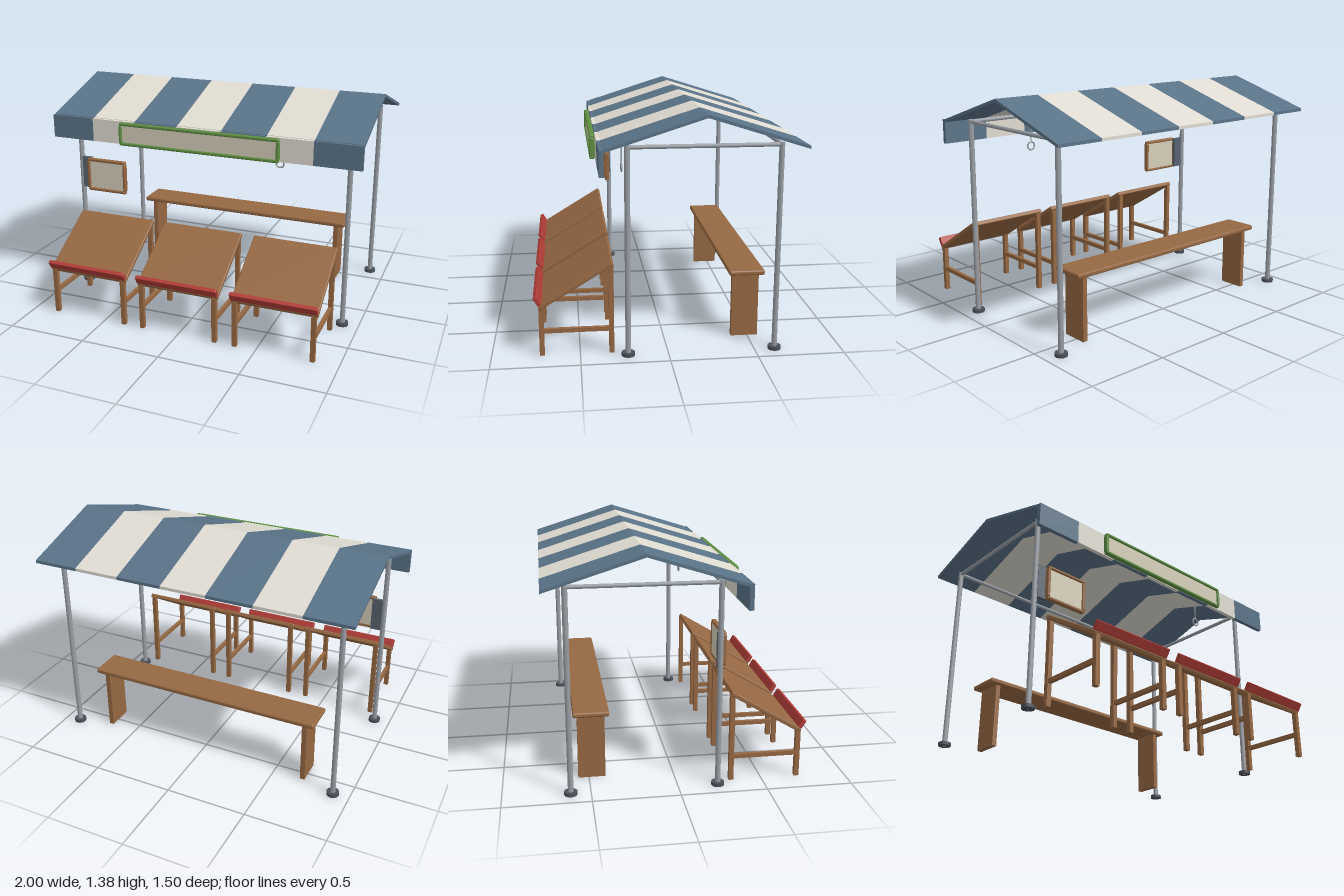
import * as THREE from 'three';
import { RoundedBoxGeometry } from 'three/addons/geometries/RoundedBoxGeometry.js';

const paint = (color) => new THREE.MeshStandardMaterial({ color });
const wood = paint(0x966842), blue = paint(0x5a7388), cream = paint(0xe0dcd2);
const red = paint(0xb03c36), green = paint(0x5f8f42), metal = paint(0x9a9fa5);
const iron = paint(0x4a4f58), slate = paint(0x59636f), paper = paint(0xd5ceb8);

function add(parent, name, geometry, material, x = 0, y = 0, z = 0) {
  const mesh = new THREE.Mesh(geometry, material);
  mesh.name = name;
  mesh.position.set(x, y, z);
  parent.add(mesh);
  return mesh;
}

const box = (w, h, d) => new THREE.BoxGeometry(w, h, d);
const rounded = (w, h, d, r) => new RoundedBoxGeometry(w, h, d, 2, r);

function group(parent, name, x = 0, y = 0, z = 0) {
  const g = new THREE.Group();
  g.name = name;
  g.position.set(x, y, z);
  parent.add(g);
  return g;
}

// Panel with a rounded four-bar frame
function framedPanel(parent, name, w, h, depth, bar, frameMaterial, x, y, z) {
  const g = group(parent, name, x, y, z);
  add(g, 'panel', box(w - bar, h - bar, depth * 0.5), paper, 0, 0, -depth * 0.1);
  for (const s of [-1, 1]) {
    add(g, 'frameRail', rounded(w - 0.006, bar, depth * 0.9, bar * 0.4), frameMaterial, 0, s * (h - bar) / 2, 0);
    add(g, 'frameStile', rounded(bar, h - bar * 1.6, depth, bar * 0.4), frameMaterial, s * (w - bar) / 2, 0, 0);
  }
}

// Seven-striped gable canopy with a front valance
function buildCanopy(parent) {
  const g = group(parent, 'canopy');
  const count = 7, width = 2 / count;
  const profile = new THREE.Shape([
    [-0.745, 1.188], [-0.19, 1.362], [0.362, 1.188],
    [0.362, 1.206], [-0.19, 1.38], [-0.745, 1.206],
  ].map(([z, y]) => new THREE.Vector2(z, y)));
  for (let i = 0; i < count; i++) {
    const x = -1 + width * (i + 0.5);
    const material = i % 2 ? cream : blue;
    const roof = new THREE.ExtrudeGeometry(profile, { depth: width, bevelEnabled: false });
    roof.translate(0, 0, -width / 2).rotateY(-Math.PI / 2);
    add(g, 'roofStripe', roof, material, x);
    add(g, 'valanceStripe', box(width, 0.145, 0.026), material, x, 1.131, 0.372);
  }
}

// Four posts with feet, joined by a rectangle of top beams
function buildPosts(parent) {
  const g = group(parent, 'postFrame');
  const front = 0.23, back = -0.615, midZ = (front + back) / 2;
  for (const x of [-0.9, 0.9]) {
    for (const z of [front, back]) {
      add(g, 'post', new THREE.CylinderGeometry(0.016, 0.016, 1.21, 12), metal, x, 0.605, z);
      add(g, 'postFoot', new THREE.CylinderGeometry(0.038, 0.038, 0.02, 12), iron, x, 0.01, z);
    }
    add(g, 'sideBeam', new THREE.CylinderGeometry(0.012, 0.012, front - back, 10).rotateX(Math.PI / 2), metal, x, 1.198, midZ);
  }
  for (const z of [front, back])
    add(g, 'longBeam', new THREE.CylinderGeometry(0.012, 0.012, 1.8, 10).rotateZ(Math.PI / 2), metal, 0, 1.198, z);

  // Ring hanging from the front beam
  add(g, 'ringRod', new THREE.CylinderGeometry(0.004, 0.004, 0.175, 8), metal, 0.47, 1.112, front);
  add(g, 'ring', new THREE.TorusGeometry(0.025, 0.005, 8, 24), metal, 0.47, 1.0, front);
}

// Sloping display desk with a red lip on its lower edge
function buildDesk(parent, x) {
  const g = group(parent, 'displayDesk', x);
  const lowZ = 0.717, lowY = 0.294, highZ = 0.317, highY = 0.536;
  const slope = Math.atan2(highY - lowY, lowZ - highZ);
  const length = Math.hypot(highY - lowY, lowZ - highZ) + 0.015;
  const top = group(g, 'slopingTop', 0, (lowY + highY) / 2, (lowZ + highZ) / 2);
  top.rotation.x = slope;
  add(top, 'deskTop', rounded(0.525, 0.026, length, 0.006), wood);
  add(top, 'redLip', rounded(0.525, 0.055, 0.026, 0.005), red, 0, 0.04, length / 2 - 0.012);
  for (const s of [-1, 1]) {
    add(g, 'frontLeg', box(0.028, 0.29, 0.028), wood, s * 0.238, 0.145, 0.715);
    add(g, 'backLeg', box(0.028, 0.525, 0.028), wood, s * 0.238, 0.2625, 0.32);
    add(g, 'sideRail', box(0.022, 0.025, 0.39), wood, s * 0.238, 0.146, 0.517);
  }
}

// Long bench at the back on two plank legs
function buildBench(parent) {
  const g = group(parent, 'bench', 0, 0, -0.482);
  add(g, 'benchTop', rounded(1.5, 0.03, 0.21, 0.01), wood, 0, 0.409, 0);
  for (const s of [-1, 1]) add(g, 'benchLeg', box(0.03, 0.397, 0.16), wood, s * 0.685, 0.1985, 0);
}

export function createModel() {
  const model = new THREE.Group();
  model.name = 'marketStall';
  buildCanopy(model);
  buildPosts(model);
  for (const x of [-0.605, 0, 0.605]) buildDesk(model, x);
  buildBench(model);
  framedPanel(model, 'signBoard', 1.036, 0.145, 0.034, 0.02, green, 0, 1.13, 0.402);
  framedPanel(model, 'noticeBoard', 0.28, 0.22, 0.034, 0.02, wood, -0.7, 0.79, 0.262);
  add(model, 'noticeBracket', box(0.07, 0.21, 0.02), slate, -0.855, 0.793, 0.235);
  return model;
}
